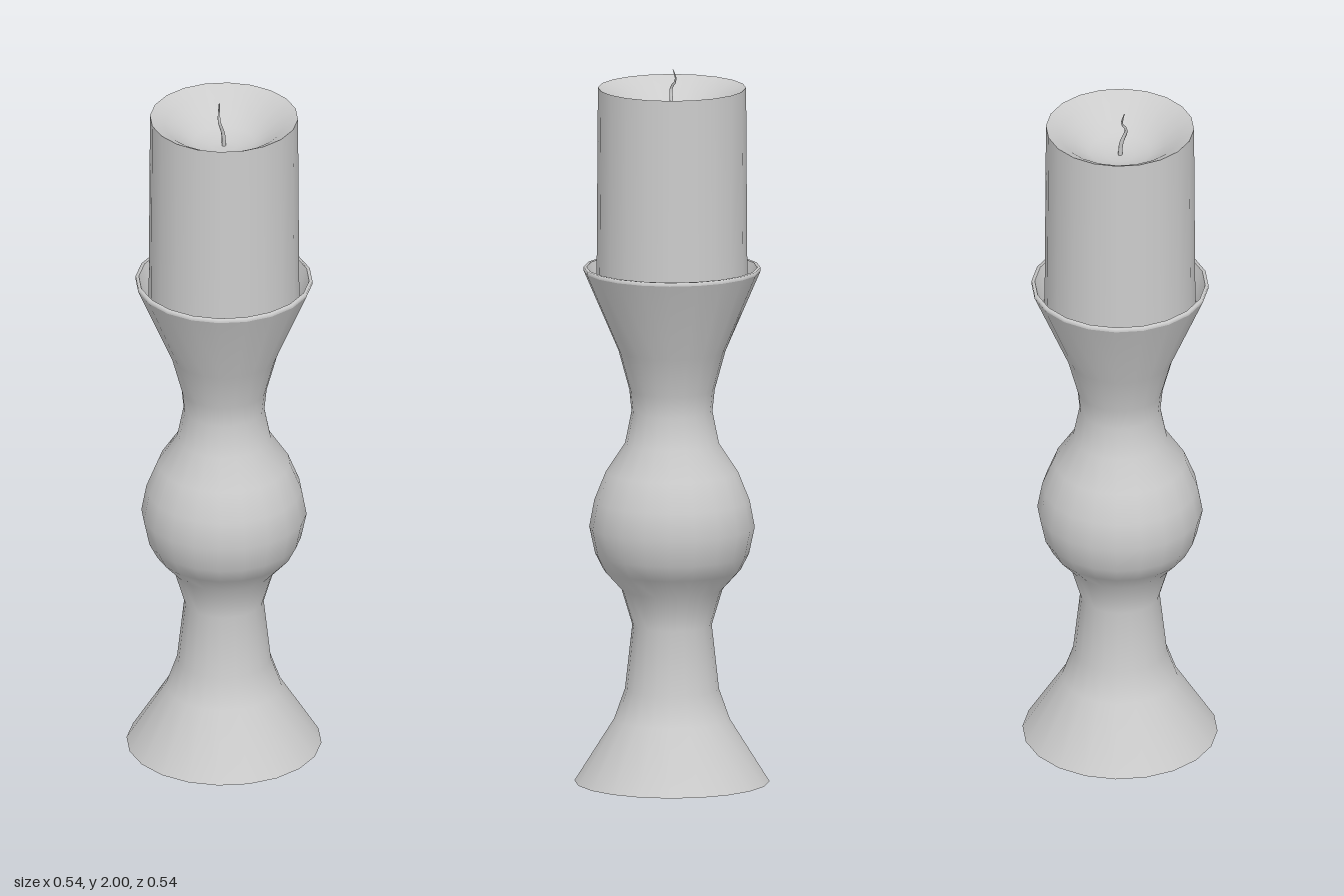
import * as THREE from 'three';

const SIDES = 20;

export function createModel() {
  const group = new THREE.Group();
  const grey = new THREE.MeshStandardMaterial({ color: 0xcccccc });

  // Each profile is a smooth run of [radius, height]; separate runs meet at a sharp edge.
  function turned(name, profiles) {
    const part = new THREE.Group();
    part.name = name;
    for (const [label, points] of Object.entries(profiles)) {
      const pts = points.map(([r, y]) => new THREE.Vector2(r, y));
      const mesh = new THREE.Mesh(new THREE.LatheGeometry(pts, SIDES), grey);
      mesh.name = label;
      part.add(mesh);
    }
    group.add(part);
  }

  // Turned candlestick with flared foot, bulb and cup
  turned('candlestick', {
    footUnderside: [[0, 0], [0.27, 0]],
    stem: [
      [0.27, 0], [0.16, 0.175], [0.13, 0.26], [0.11, 0.44], [0.14, 0.54],
      [0.19, 0.595], [0.213, 0.64], [0.229, 0.715], [0.215, 0.79], [0.183, 0.87],
      [0.13, 0.95], [0.112, 1.04], [0.118, 1.1], [0.148, 1.21], [0.245, 1.435],
    ],
    cupLip: [[0.245, 1.435], [0.245, 1.445], [0.236, 1.445]],
    cupInside: [[0.236, 1.445], [0.213, 1.375]],
    cupFloor: [[0.213, 1.375], [0, 1.375]],
  });

  // Pillar candle with a melted hollow in the top
  turned('candle', {
    candleWall: [[0.209, 1.376], [0.208, 1.5], [0.206, 1.8], [0.205, 1.95]],
    meltedTop: [[0.205, 1.95], [0.165, 1.928], [0.125, 1.897], [0.085, 1.874], [0.04, 1.864], [0, 1.862]],
  });

  // Thin crooked wick
  const path = new THREE.CatmullRomCurve3([
    new THREE.Vector3(0, 1.855, 0),
    new THREE.Vector3(-0.003, 1.9, 0.002),
    new THREE.Vector3(-0.016, 1.945, 0.008),
    new THREE.Vector3(-0.012, 1.97, -0.007),
    new THREE.Vector3(-0.014, 1.998, 0.002),
  ]);
  const wickGeometry = new THREE.TubeGeometry(path, 12, 0.006, 6);
  // Taper towards the tip
  const pos = wickGeometry.attributes.position;
  const p = new THREE.Vector3();
  for (let i = 0; i < pos.count; i++) {
    const t = Math.floor(i / 7) / 12;
    const centre = path.getPointAt(t);
    p.fromBufferAttribute(pos, i).sub(centre).multiplyScalar(1 - 0.8 * t * t).add(centre);
    pos.setXYZ(i, p.x, p.y, p.z);
  }
  const wick = new THREE.Mesh(wickGeometry, grey);
  wick.name = 'wick';
  group.add(wick);

  return group;
}
